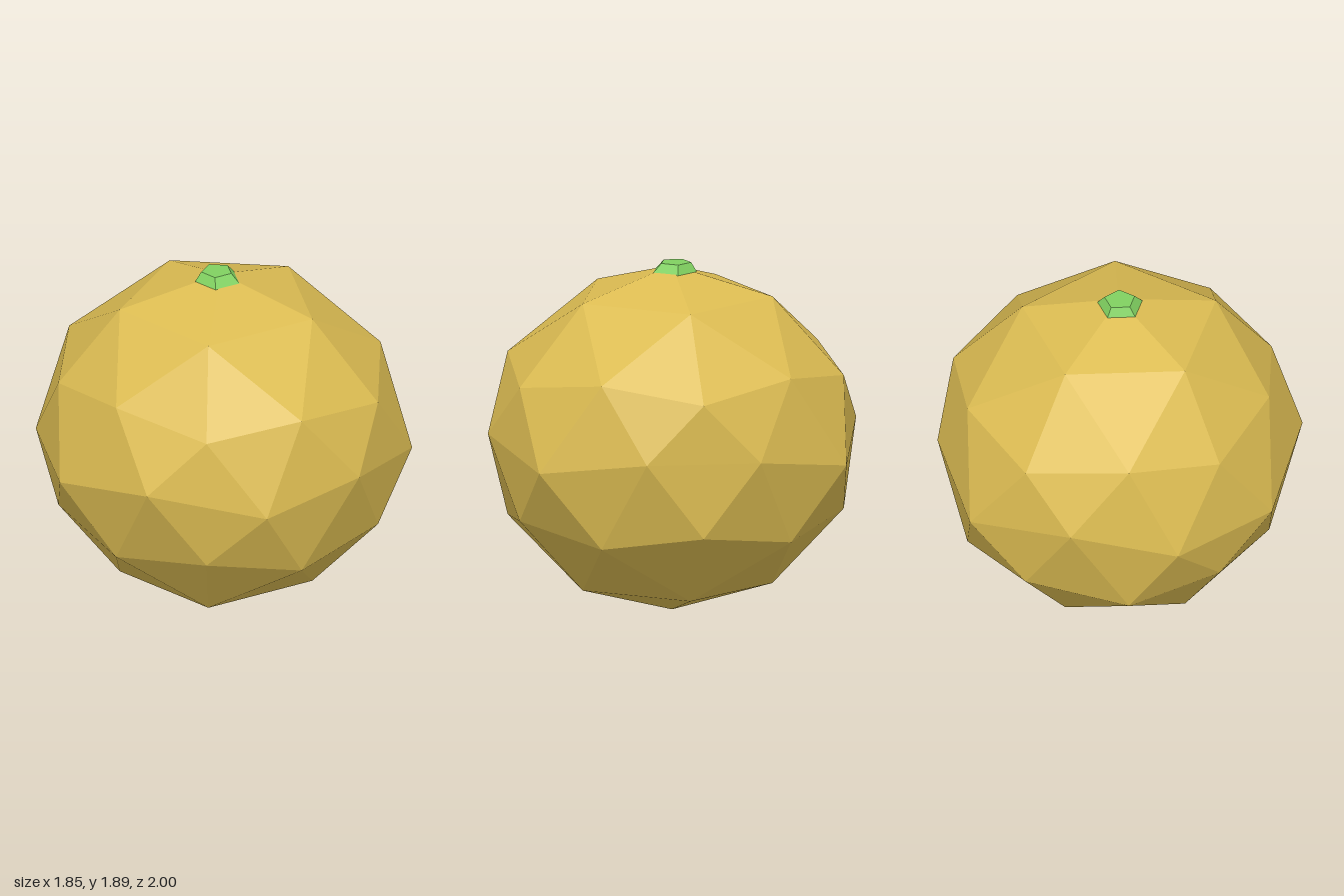
import * as THREE from 'three';

// Completes a ring of [x, z] points by mirroring across z; points on z = 0 are kept once.
function mirrorRing(half) {
  const back = half.filter((p) => p[1] !== 0).reverse().map(([x, z]) => [x, -z]);
  return [...half, ...back];
}

// Faceted fruit: two matching caps joined along a zigzag equator.
function fruitGeometry() {
  const shoulder = mirrorRing([[0.535, 0], [0.16, 0.515], [-0.45, 0.32]]);
  const corners = mirrorRing([[0.915, 0], [0.28, 0.88], [-0.7, 0.535]]);
  const between = mirrorRing([[0.7, 0.515], [-0.28, 0.84], [-0.83, 0]]);
  const middle = mirrorRing([[0.92, 0.31], [0.6, 0.835], [0, 1], [-0.55, 0.835], [-0.93, 0.315]]);
  const middleY = [0.99, 0.9, 1, 0.9, 1, 0.87, 0.875, 1.015, 0.88, 0.98];
  const equator = middle.map(([x, z], i) => [x, middleY[i], z]);
  const positions = [];

  for (const side of [1, -1]) {
    const at = ([x, z], h) => [x, 0.94 + side * h, z];
    const tri = (a, b, c) => positions.push(...(side > 0 ? [a, c, b] : [a, b, c]).flat());
    const pole = at([0, 0], 0.94);
    const cap = shoulder.map((p) => at(p, 0.783));
    const ring = [];
    for (let k = 0; k < 5; k++) ring.push(at(corners[k], 0.364), at(between[k], 0.446));

    for (let k = 0; k < 5; k++) {
      const a = cap[k], b = cap[(k + 1) % 5];
      const r0 = ring[(2 * k + 9) % 10], r1 = ring[2 * k], r2 = ring[2 * k + 1];
      tri(pole, a, b);
      tri(a, r2, b);
      tri(a, r1, r2);
      tri(a, r0, r1);
    }
    for (let j = 0; j < 10; j++) {
      const next = (j + 1) % 10;
      tri(ring[j], equator[j], ring[next]);
      tri(ring[next], equator[j], equator[next]);
    }
  }
  const geometry = new THREE.BufferGeometry();
  geometry.setAttribute('position', new THREE.Float32BufferAttribute(positions, 3));
  geometry.computeVertexNormals();
  return geometry;
}

// Five-sided tapered stem, narrower at the top.
function stemGeometry() {
  const geometry = new THREE.CylinderGeometry(0.085, 0.126, 0.05, 5).toNonIndexed();
  geometry.rotateY(Math.PI / 2);
  // Lean the top slightly
  const p = geometry.attributes.position;
  for (let i = 0; i < p.count; i++) {
    if (p.getY(i) > 0) p.setZ(i, p.getZ(i) - 0.01);
  }
  geometry.computeVertexNormals();
  return geometry;
}

export function createModel() {
  const skin = new THREE.MeshStandardMaterial({ color: 0xdcbc52 });
  skin.name = 'goldenSkin';
  skin.flatShading = true;
  const green = new THREE.MeshStandardMaterial({ color: 0x80d060 });
  green.name = 'stemGreen';
  green.flatShading = true;

  const model = new THREE.Group();
  model.name = 'fruit';

  const body = new THREE.Mesh(fruitGeometry(), skin);
  body.name = 'body';
  const stem = new THREE.Mesh(stemGeometry(), green);
  stem.name = 'stem';
  stem.position.set(-0.01, 1.87, -0.01);

  model.add(body, stem);
  return model;
}
